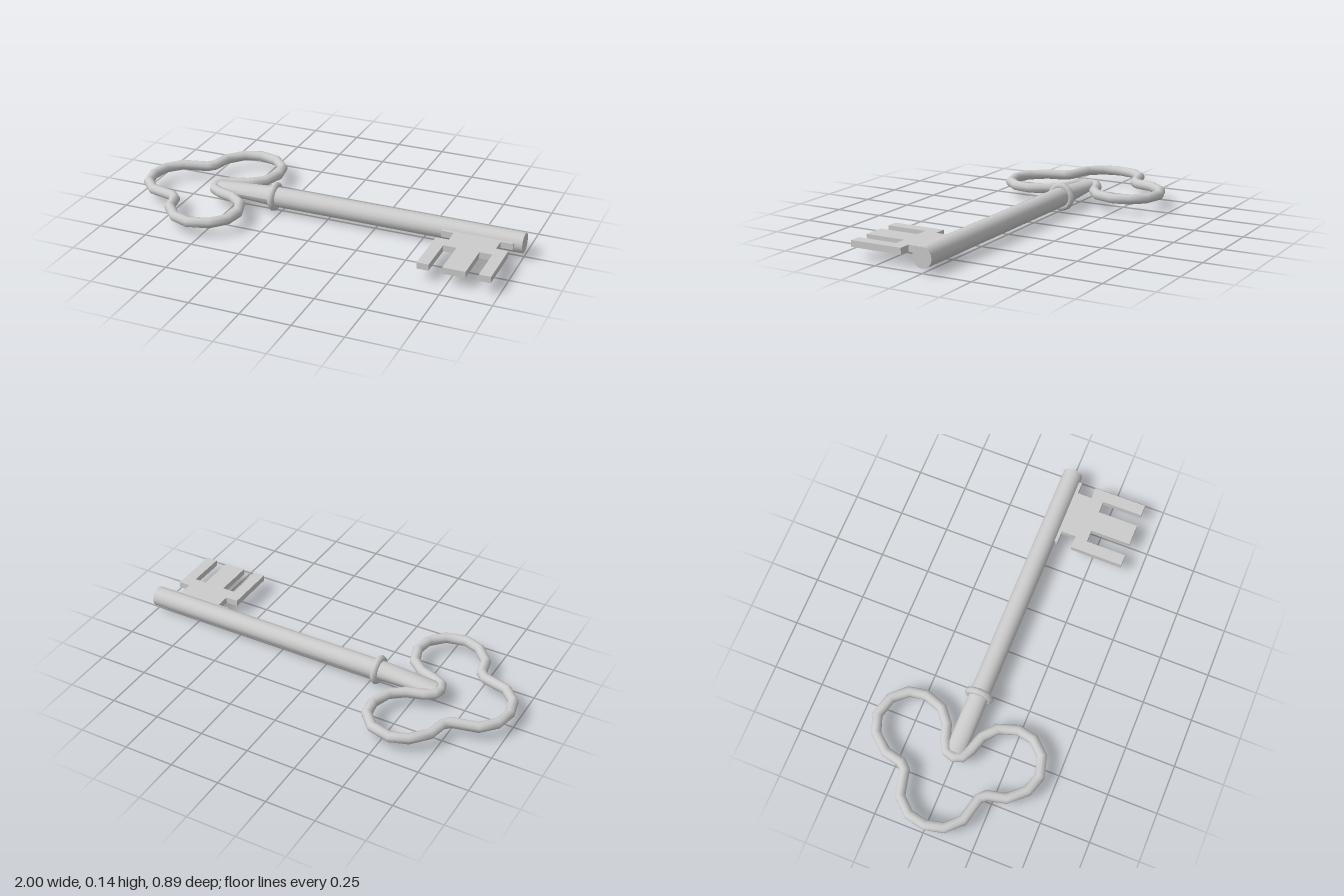
import * as THREE from 'three';

export function createModel() {
  const key = new THREE.Group();
  key.name = 'key';
  const material = new THREE.MeshStandardMaterial({ color: 0xcccccc });
  const Y = 0.074; // height of the shaft axis

  function add(name, geometry, x = 0, y = Y, z = 0) {
    const mesh = new THREE.Mesh(geometry, material);
    mesh.name = name;
    mesh.position.set(x, y, z);
    key.add(mesh);
    return mesh;
  }

  // Round shaft along x
  add('shaft', new THREE.CylinderGeometry(0.05, 0.05, 1.29, 16).rotateZ(-Math.PI / 2), 0.355);

  // Neck: keeps its width but flattens towards the bow
  const neck = new THREE.CylinderGeometry(0.05, 0.05, 0.31, 16, 1).rotateZ(-Math.PI / 2);
  const p = neck.attributes.position;
  for (let i = 0; i < p.count; i++) {
    if (p.getX(i) < 0) p.setY(i, p.getY(i) * 0.48);
  }
  neck.computeVertexNormals();
  add('neck', neck, -0.445);

  // Collar ring between neck and shaft
  add('collar', new THREE.TorusGeometry(0.056, 0.018, 8, 14).rotateY(Math.PI / 2), -0.287);

  // Three-lobed bow: half outline [x, z], mirrored across z = 0
  const half = [
    [-0.975, 0], [-0.955, -0.09], [-0.89, -0.16], [-0.765, -0.19], [-0.735, -0.22],
    [-0.715, -0.31], [-0.645, -0.39], [-0.56, -0.42], [-0.46, -0.395], [-0.395, -0.325],
    [-0.38, -0.24], [-0.412, -0.145], [-0.48, -0.09], [-0.56, -0.065], [-0.605, -0.04], [-0.617, 0],
  ];
  const mirrored = half.slice(1, -1).reverse().map(([x, z]) => [x, -z]);
  const outline = [...half, ...mirrored].map(([x, z]) => new THREE.Vector3(x, 0, z));
  const path = new THREE.CatmullRomCurve3(outline, true);
  path.getUtoTmapping = (u) => u; // one tube ring at each outline point
  add('bow', new THREE.TubeGeometry(path, outline.length, 0.026, 10, true));

  // Flat bit with a narrow root and three teeth: [name, x0, x1, z0, z1]
  const plates = [
    ['bitBase', 0.607, 0.96, 0.035, 0.063],
    ['bitRoot', 0.67, 0.9, 0.063, 0.137],
    ['bitBody', 0.607, 0.96, 0.137, 0.2],
    ['bitToothInner', 0.607, 0.665, 0.2, 0.405],
    ['bitToothMiddle', 0.73, 0.84, 0.2, 0.405],
    ['bitToothOuter', 0.902, 0.96, 0.2, 0.405],
  ];
  for (const [name, x0, x1, z0, z1] of plates) {
    add(name, new THREE.BoxGeometry(x1 - x0, 0.032, z1 - z0), (x0 + x1) / 2, Y, (z0 + z1) / 2);
  }

  return key;
}
